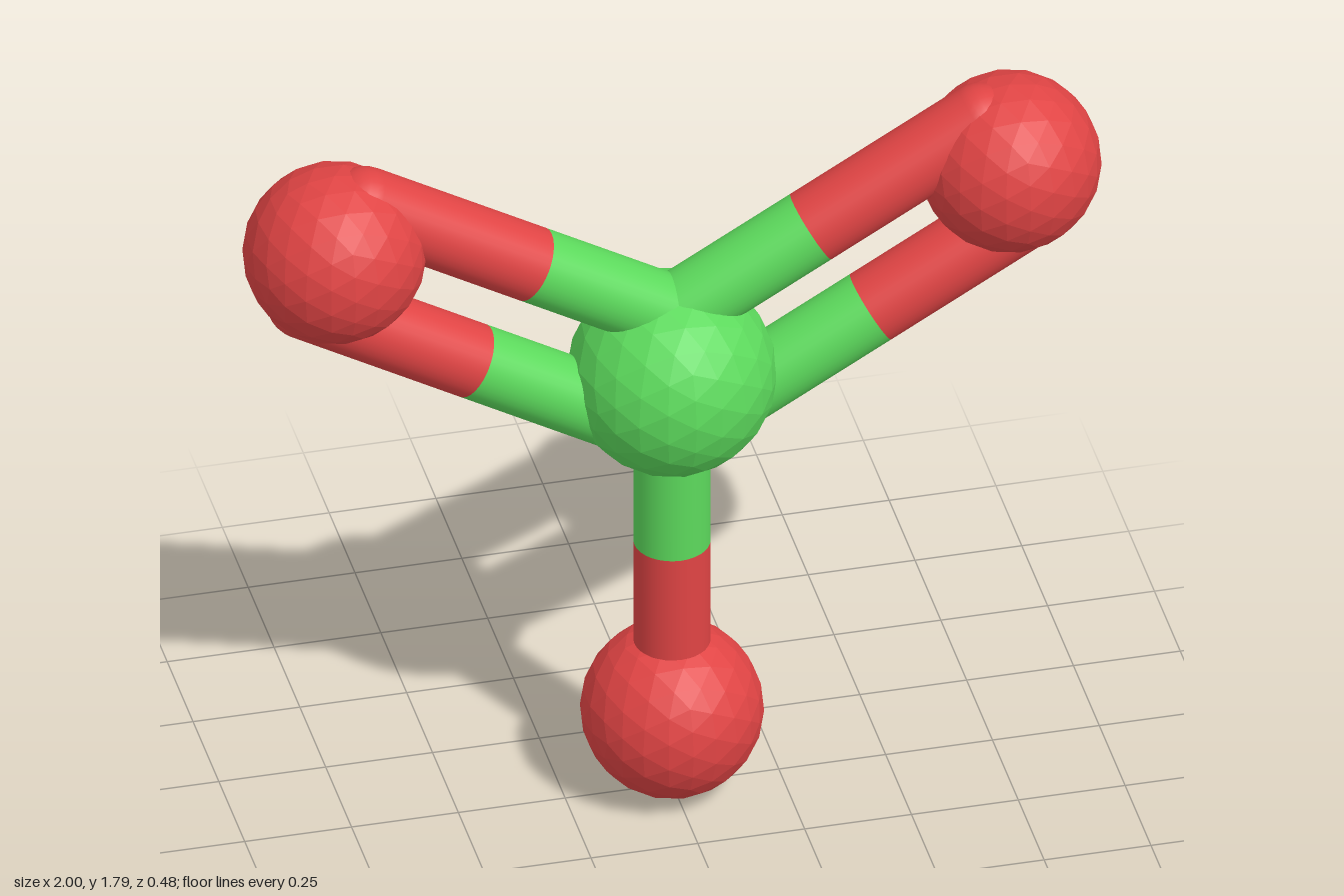
import * as THREE from 'three';

const GREEN = new THREE.MeshStandardMaterial({ color: 0x5cd95c });
const RED = new THREE.MeshStandardMaterial({ color: 0xe04444 });
const faceted = (material) => {
  const m = material.clone();
  m.flatShading = true;
  return m;
};

const BOND_RADIUS = 0.088;
const CENTRE = new THREE.Vector3(0, 1.13, 0);

// Faceted ball for an atom
function atom(name, position, radius, material) {
  const mesh = new THREE.Mesh(new THREE.IcosahedronGeometry(radius, 3), faceted(material));
  mesh.name = name;
  mesh.position.copy(position);
  return mesh;
}

// Half a bond: a tube with a domed outer end at `end`, open at `middle`
function halfBond(name, end, middle, material) {
  const length = end.distanceTo(middle);
  const profile = [];
  for (let i = 0; i <= 8; i++) {
    const a = (i / 8) * Math.PI / 2;
    profile.push(new THREE.Vector2(BOND_RADIUS * Math.sin(a), -BOND_RADIUS * Math.cos(a)));
  }
  profile.push(new THREE.Vector2(BOND_RADIUS, length));
  const mesh = new THREE.Mesh(new THREE.LatheGeometry(profile, 32), material);
  mesh.name = name;
  mesh.position.copy(end);
  const direction = middle.clone().sub(end).normalize();
  mesh.quaternion.setFromUnitVectors(new THREE.Vector3(0, 1, 0), direction);
  return mesh;
}

// Two-coloured bond between two points
function bond(name, from, to) {
  const group = new THREE.Group();
  group.name = name;
  const middle = from.clone().lerp(to, 0.5);
  group.add(halfBond('innerHalf', from, middle, GREEN), halfBond('outerHalf', to, middle, RED));
  return group;
}

export function createModel() {
  const model = new THREE.Group();
  model.name = 'molecule';

  // Central atom
  model.add(atom('centralAtom', CENTRE, 0.24, GREEN));

  // Lower atom on a single bond
  const low = new THREE.Vector3(0, 0.21, 0);
  model.add(atom('lowerAtom', low, 0.21, RED), bond('singleBond', CENTRE, low));

  // Upper atoms, each on a pair of parallel bonds
  for (const [side, s] of [['left', 1], ['right', -1]]) {
    const end = new THREE.Vector3(0.79 * s, 1.585, 0);
    model.add(atom(side + 'Atom', end, 0.21, RED));
    const along = end.clone().sub(CENTRE).normalize();
    const across = new THREE.Vector3(-along.y * s, along.x * s, 0);
    for (const [level, d] of [['Upper', 0.14], ['Lower', -0.14]]) {
      const shift = across.clone().multiplyScalar(d);
      model.add(bond(side + level + 'Bond', CENTRE.clone().add(shift), end.clone().add(shift)));
    }
  }
  return model;
}
